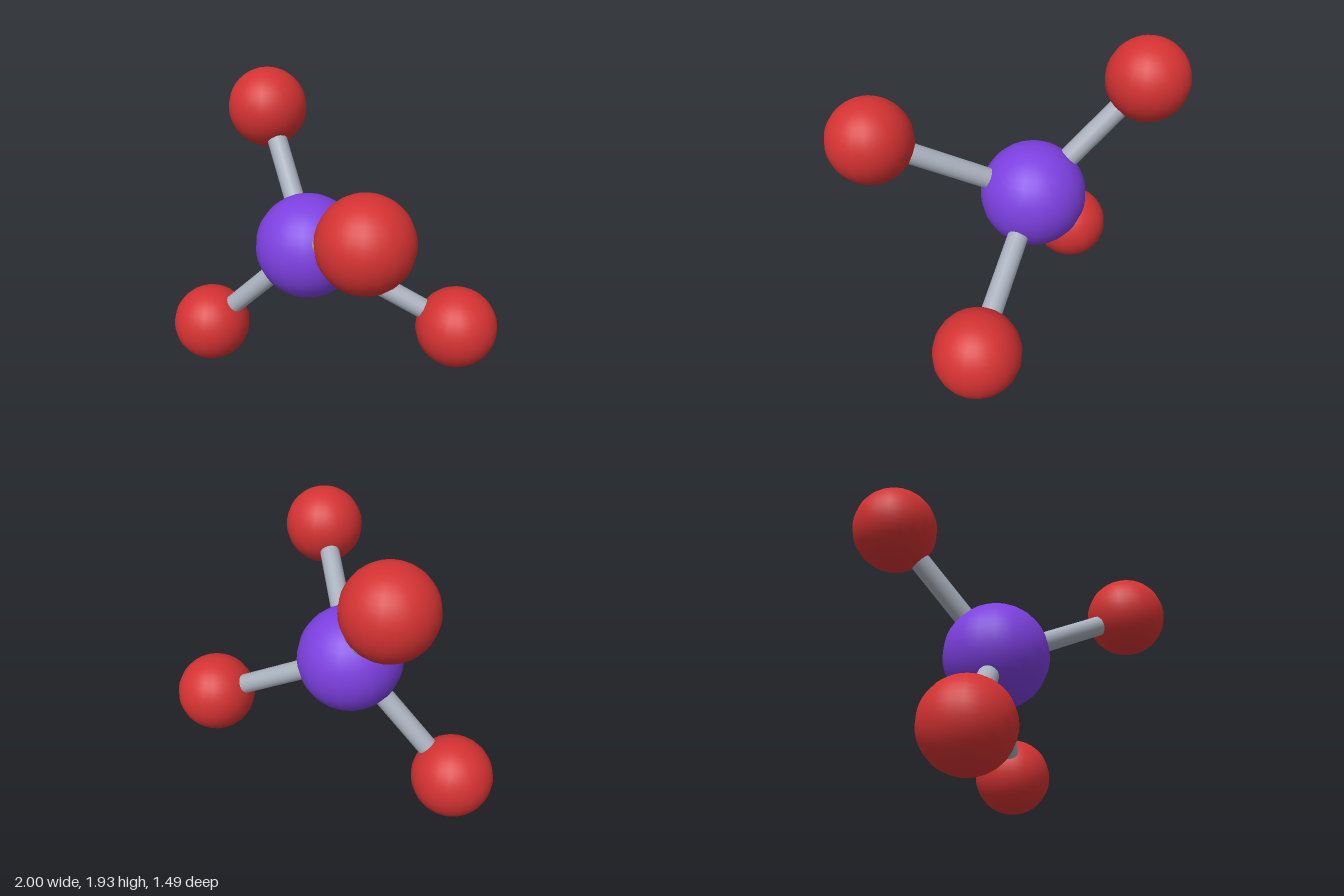
import * as THREE from 'three';

function material(name, color) {
  const m = new THREE.MeshStandardMaterial({ color });
  m.name = name;
  return m;
}

export function createModel() {
  const group = new THREE.Group();
  group.name = 'tetrahedralMolecule';
  const purple = material('purple', 0x7d40e0);
  const red = material('red', 0xd43232);
  const grey = material('grey', 0xa8b0bc);

  function add(name, geometry, mat, position) {
    const mesh = new THREE.Mesh(geometry, mat);
    mesh.name = name;
    mesh.position.copy(position);
    group.add(mesh);
    return mesh;
  }

  // Central atom
  const center = new THREE.Vector3(-0.1, 0.97, 0);
  add('centralAtom', new THREE.SphereGeometry(0.333, 20, 20), purple, center);

  // Four outer atoms, each joined to the centre by a bond
  const outer = {
    upperRight: [-0.74, 1.675, -0.305],
    upperLeft: [0.74, 1.455, 0.485],
    lowerRight: [-0.74, 0.265, 0.305],
    lowerLeft: [0.74, 0.485, -0.485],
  };
  const atomGeometry = new THREE.SphereGeometry(0.26, 20, 20);
  const up = new THREE.Vector3(0, 1, 0);
  for (const [name, p] of Object.entries(outer)) {
    const end = new THREE.Vector3(...p);
    add(name + 'Atom', atomGeometry, red, end);

    const span = end.clone().sub(center);
    const bond = add(
      name + 'Bond',
      new THREE.CylinderGeometry(0.065, 0.065, span.length(), 16),
      grey,
      center.clone().lerp(end, 0.5)
    );
    bond.quaternion.setFromUnitVectors(up, span.normalize());
  }
  return group;
}
